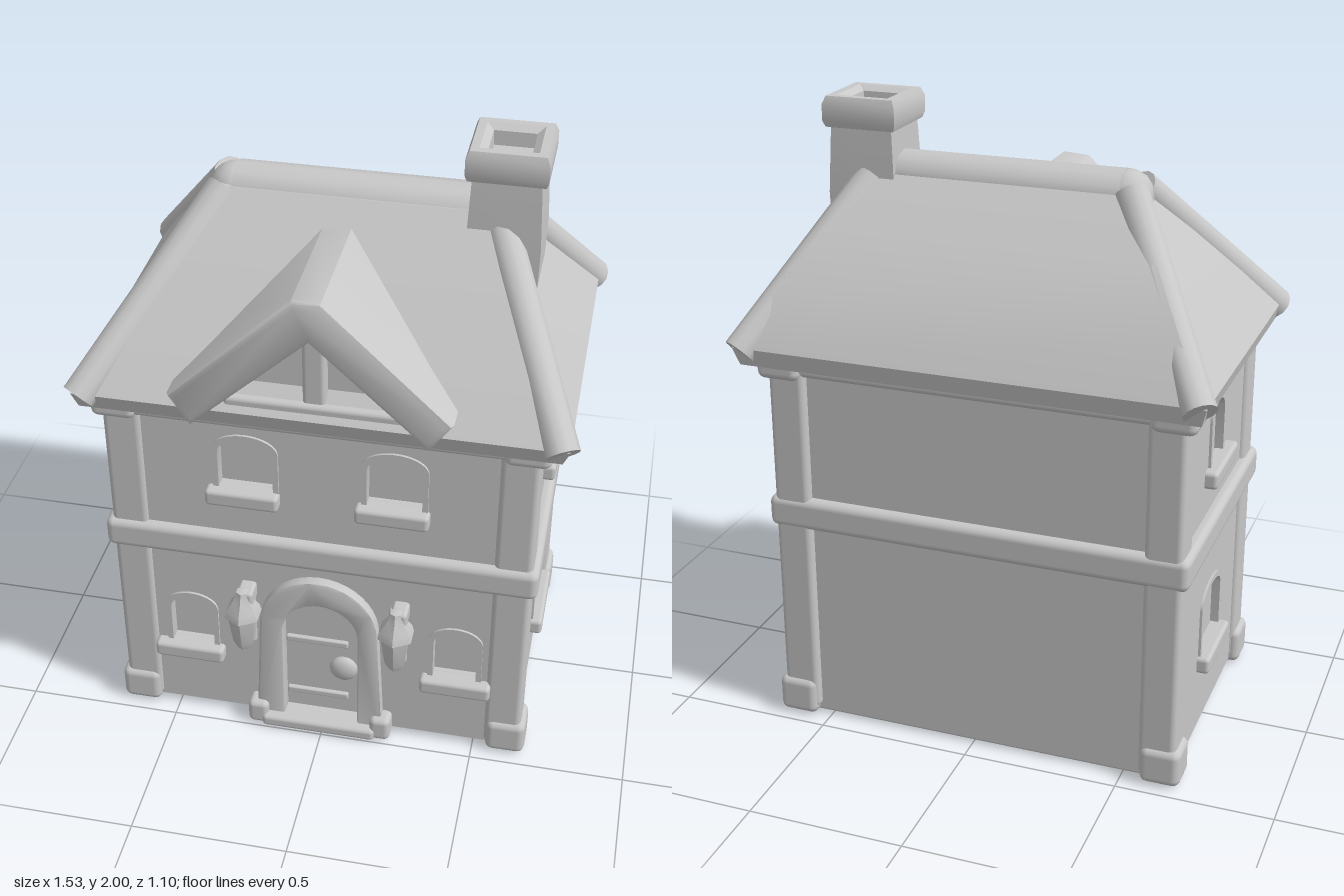
import * as THREE from 'three';
import { toCreasedNormals } from 'three/addons/utils/BufferGeometryUtils.js';
import { RoundedBoxGeometry } from 'three/addons/geometries/RoundedBoxGeometry.js';
import { ConvexGeometry } from 'three/addons/geometries/ConvexGeometry.js';

const CX = -0.01; // middle of the house body

export function createModel() {
  const house = new THREE.Group();
  house.name = 'house';
  const stone = new THREE.MeshStandardMaterial({ color: 0xc8c8c8 });
  stone.name = 'pale grey';

  const add = (name, geo, parent = house) => {
    const m = new THREE.Mesh(geo, stone);
    m.name = name;
    parent.add(m);
    return m;
  };
  // rounded block given by its limits
  const block = (name, x0, x1, y0, y1, z0, z1, r = 0.015, parent = house) => {
    const m = add(name, new RoundedBoxGeometry(x1 - x0, y1 - y0, z1 - z0, 2, r), parent);
    m.position.set((x0 + x1) / 2, (y0 + y1) / 2, (z0 + z1) / 2);
    return m;
  };
  // round log between two points
  const log = (name, a, b, r, r2 = r) => {
    const p = new THREE.Vector3(...a), q = new THREE.Vector3(...b);
    const g = toCreasedNormals(new THREE.CylinderGeometry(r2, r, p.distanceTo(q), 12), 0.8);
    const m = add(name, g);
    m.position.copy(p).lerp(q, 0.5);
    m.quaternion.setFromUnitVectors(new THREE.Vector3(0, 1, 0), q.sub(p).normalize());
    return m;
  };
  // arched outline; rise is the height of the curved top
  const arch = (cx, w, y0, y1, rise, flare = 0, Type = THREE.Shape) => {
    const s = new Type();
    s.moveTo(cx - w / 2 - flare, y0);
    s.lineTo(cx + w / 2 + flare, y0);
    s.lineTo(cx + w / 2, y1 - rise);
    s.absellipse(cx, y1 - rise, w / 2, rise, 0, Math.PI, false, 0);
    s.closePath();
    return s;
  };
  const extrude = (shape, depth, bevel = 0) => toCreasedNormals(new THREE.ExtrudeGeometry(shape, {
    depth, curveSegments: 10, bevelEnabled: bevel > 0, bevelSize: bevel,
    bevelThickness: bevel, bevelSegments: 2,
  }), 0.7);

  // wall with arched openings, sills and a middle bar, facing local +z
  const wall = (name, x0, x1, windows, doorway) => {
    const g = new THREE.Group();
    g.name = name;
    const s = new THREE.Shape();
    s.moveTo(x0, 0.03); s.lineTo(x1, 0.03); s.lineTo(x1, 1.24); s.lineTo(x0, 1.24);
    s.closePath();
    for (const [cx, w, y0, y1, sillX, sillW] of windows) {
      s.holes.push(arch(cx, w, y0, y1, 0.05, 0, THREE.Path));
      const frame = arch(cx, w + 0.035, y0, y1 + 0.018, 0.06);
      frame.holes.push(arch(cx, w, y0 + 0.001, y1, 0.05, 0, THREE.Path));
      add('windowFrame', extrude(frame, 0.05), g).position.z = -0.042;
      block('windowSill', sillX - sillW / 2, sillX + sillW / 2, y0 - 0.055, y0 + 0.002, -0.03, 0.04, 0.014, g);
    }
    if (doorway) s.holes.push(arch(doorway, 0.27, 0.05, 0.56, 0.13, 0, THREE.Path));
    add('wallPanel', extrude(s, 0.035), g).position.z = -0.035;
    house.add(g);
    return g;
  };

  // body core and walls
  block('bodyCore', -0.64, 0.62, 0.012, 1.29, -0.425, 0.405, 0.01);
  wall('frontWall', -0.63, 0.61, [
    [-0.235, 0.17, 0.965, 1.15, -0.245, 0.23], [0.225, 0.17, 0.965, 1.15, 0.22, 0.23],
    [-0.435, 0.14, 0.295, 0.49, -0.445, 0.23], [0.43, 0.14, 0.295, 0.49, 0.435, 0.23],
  ], -0.005).position.z = 0.44;
  for (const s of [1, -1]) {
    const w = wall(s > 0 ? 'leftWall' : 'rightWall', -0.42, 0.42, [
      [0.03 * s, 0.14, 0.945, 1.14, 0.015 * s, 0.28], [0.01 * s, 0.22, 0.295, 0.5, 0.01 * s, 0.28],
    ]);
    w.position.x = CX + s * 0.65;
    w.rotation.y = s * Math.PI / 2;
  }

  // corner posts, feet and capitals
  for (const sx of [-1, 1]) for (const sz of [-1, 1]) {
    const post = (name, x, z, w, y0, y1, r) => {
      const px = CX + sx * (x - w / 2), pz = sz * (z - w / 2);
      block(name, px - w / 2, px + w / 2, y0, y1, pz - w / 2, pz + w / 2, r);
    };
    post('cornerPost', 0.665, 0.452, 0.12, 0.03, 1.25, 0.02);
    post('cornerFoot', 0.682, 0.465, 0.13, 0.01, 0.135, 0.025);
    post('postCapital', 0.695, 0.472, 0.14, 1.19, 1.28, 0.025);
  }
  block('floorBand', CX - 0.685, CX + 0.685, 0.685, 0.79, -0.458, 0.47, 0.025);
  block('topBand', CX - 0.668, CX + 0.668, 1.2, 1.28, -0.45, 0.46, 0.02);

  // hipped roof built from stacked rectangles
  const pts = [];
  for (const [y, x0, x1, z0, z1] of [
    [1.245, -0.725, 0.715, -0.505, 0.495], [1.30, -0.74, 0.735, -0.515, 0.515],
    [1.45, -0.64, 0.64, -0.425, 0.39], [1.62, -0.52, 0.54, -0.27, 0.22],
    [1.79, -0.39, 0.45, -0.08, 0.06],
  ]) for (const x of [x0, x1]) for (const z of [z0, z1]) pts.push(new THREE.Vector3(x, y, z));
  add('roof', toCreasedNormals(new ConvexGeometry(pts), 0.35));

  // ridge and hip logs
  const ridge = log('ridgeLog', [-0.35, 1.75, -0.02], [0.46, 1.75, -0.02], 0.082);
  ridge.scale.z = 1.08;
  const knob = add('ridgeEnd', new THREE.SphereGeometry(0.082, 12, 8));
  knob.position.set(-0.355, 1.748, -0.02);
  for (const sz of [-1, 1]) {
    log('hipLogRight', [-0.72, 1.285, sz * 0.505], [-0.38, 1.765, sz * 0.045 - 0.02], 0.052, 0.056);
    log('hipLogLeft', [0.715, 1.285, sz * 0.505], [0.45, 1.745, sz * 0.06 - 0.02], 0.052, 0.056);
  }

  // front gable: chevron roof over a recessed triangular wall
  const chevron = new THREE.Shape();
  [[-0.41, 1.355], [-0.05, 1.7], [0.02, 1.705], [0.38, 1.36], [0.335, 1.295], [-0.01, 1.615], [-0.365, 1.285]]
    .reverse().forEach(([x, y], i) => (i ? chevron.lineTo(x, y) : chevron.moveTo(x, y)));
  chevron.closePath();
  add('gableRoof', extrude(chevron, 0.42, 0.02)).position.z = 0.11;
  const tri = new THREE.Shape();
  tri.moveTo(-0.36, 1.3); tri.lineTo(0.34, 1.3); tri.lineTo(-0.01, 1.64);
  tri.closePath();
  add('gableWall', extrude(tri, 0.3)).position.z = 0.15;
  block('gablePost', -0.045, 0.025, 1.33, 1.62, 0.42, 0.485);
  block('gableSill', -0.28, 0.26, 1.29, 1.345, 0.4, 0.5);

  // chimney: tapered square shaft and hollow cap
  const square = (profile) => {
    const g = new THREE.LatheGeometry(profile.map(([r, y]) => new THREE.Vector2(r * Math.SQRT2, y)), 4);
    return toCreasedNormals(g.rotateY(Math.PI / 4), 0.5);
  };
  const chimney = new THREE.Group();
  chimney.name = 'chimney';
  chimney.position.set(0.47, 0, -0.01);
  add('chimneyShaft', square([[0.105, 1.5], [0.11, 1.7], [0.1, 1.92]]), chimney);
  add('chimneyCap', square([[0.095, 1.9], [0.113, 1.905], [0.12, 1.925], [0.12, 1.975],
    [0.11, 2.0], [0.085, 2.0], [0.063, 1.985], [0.06, 1.94], [0, 1.94]]), chimney);
  house.add(chimney);

  // doorway
  const surround = arch(-0.01, 0.37, 0.012, 0.635, 0.19, 0.02);
  surround.holes.push(arch(-0.005, 0.26, 0.02, 0.555, 0.13, 0, THREE.Path));
  add('doorArch', extrude(surround, 0.05, 0.008)).position.z = 0.415;
  add('door', extrude(arch(-0.005, 0.27, 0.03, 0.56, 0.13), 0.02)).position.z = 0.404;
  for (const y of [0.13, 0.36]) block('doorStrap', -0.125, 0.08, y - 0.012, y + 0.012, 0.41, 0.437, 0.006);
  const handle = add('doorKnob', new THREE.SphereGeometry(0.048, 12, 8));
  handle.position.set(0.065, 0.255, 0.43);
  handle.scale.z = 0.5;
  block('doorStep', -0.2, 0.18, 0.01, 0.055, 0.4, 0.505);
  for (const x of [-0.215, 0.195]) block('archFoot', x - 0.035, x + 0.035, 0.01, 0.1, 0.41, 0.495, 0.02);

  // wall lanterns
  const lampProfile = [[0, 0.345], [0.022, 0.355], [0.036, 0.385], [0.05, 0.485], [0.062, 0.495],
    [0.055, 0.52], [0.028, 0.56], [0.02, 0.59], [0, 0.595]].map(([r, y]) => new THREE.Vector2(r, y));
  for (const x of [-0.25, 0.245]) {
    const lamp = add('lantern', toCreasedNormals(new THREE.LatheGeometry(lampProfile, 6), 0.5));
    lamp.position.set(x, 0, 0.492);
    block('lanternBracket', x - 0.018, x + 0.035, 0.53, 0.59, 0.42, 0.505, 0.012);
    block('lanternPlate', x - 0.03, x + 0.03, 0.34, 0.56, 0.43, 0.458, 0.01);
  }
  return house;
}
